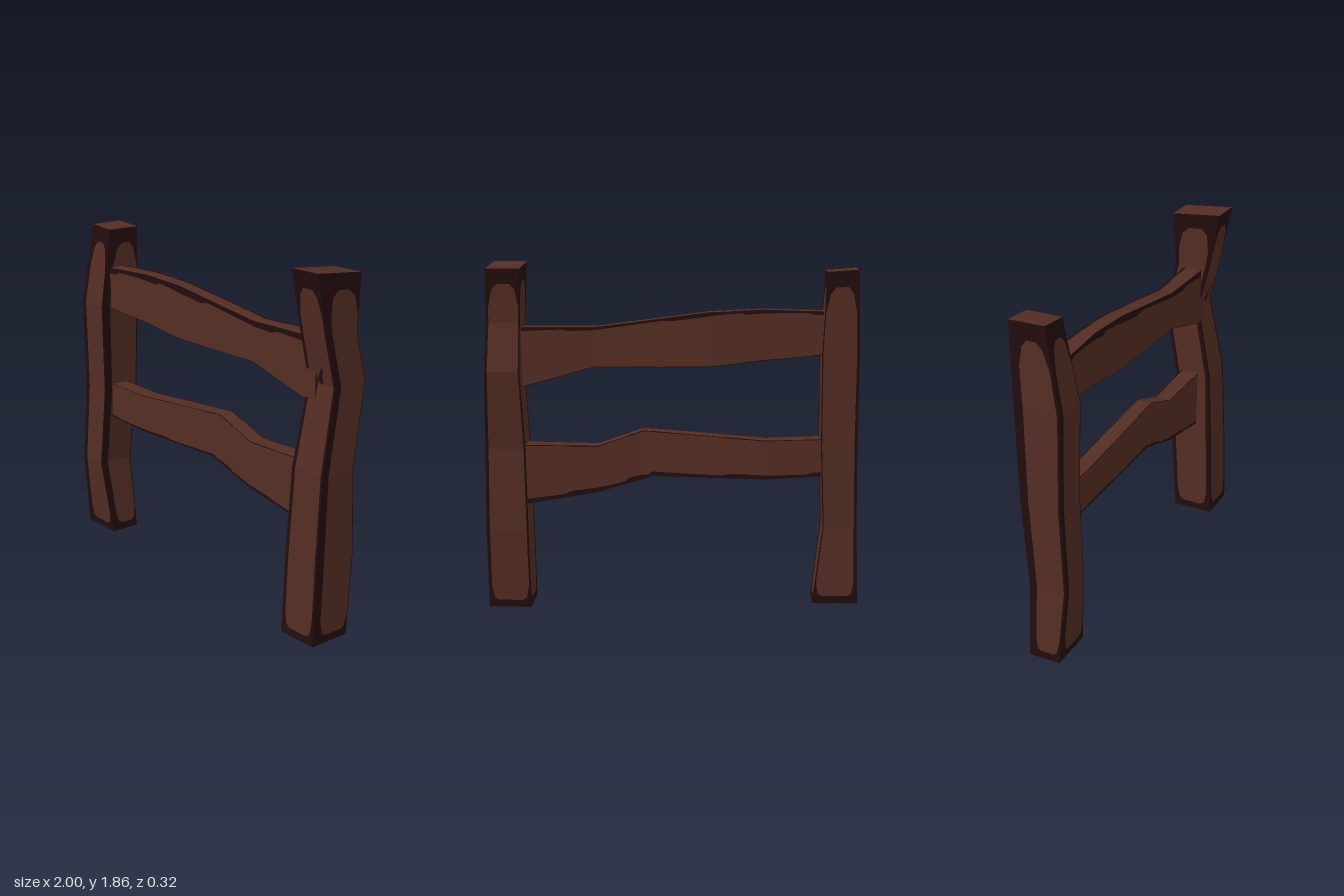
import * as THREE from 'three';

const wood = new THREE.MeshStandardMaterial({ color: 0x532d23 });
wood.name = 'brownWood';
const edge = new THREE.MeshStandardMaterial({ color: 0x220c0c });
edge.name = 'darkEdge';

const v = (x, y, z) => new THREE.Vector3(x, y, z);
const mix = (s, t, f) => s.map((p, i) => p.clone().lerp(t[i], f));

// Four-sided beam through cross-sections. Each side has a brown panel between
// dark margins; rows with panel = false are dark all the way across.
function beam(name, rows, margins, capMaterials) {
  const tris = [[], []];
  const quad = (m, a, b, c, d) => tris[m].push(a, b, c, a, c, d);
  const across = (row, i) => {
    const a = row.corners[i], b = row.corners[(i + 1) % 4];
    const [m0, m1] = margins[i];
    const w = row.wobble ?? 1, e = row.inset ?? 0;
    return [0, m0 * w + e, 1 - m1 * w - e, 1].map(u => a.clone().lerp(b, u));
  };
  for (let r = 0; r < rows.length - 1; r++) {
    for (let i = 0; i < 4; i++) {
      const a = across(rows[r], i), b = across(rows[r + 1], i);
      for (let c = 0; c < 3; c++) {
        const brown = c === 1 && rows[r].panel !== false;
        quad(brown ? 0 : 1, a[c], a[c + 1], b[c + 1], b[c]);
      }
    }
  }
  const s = rows[0].corners, t = rows[rows.length - 1].corners;
  quad(capMaterials[0], s[3], s[2], s[1], s[0]);
  quad(capMaterials[1], t[0], t[1], t[2], t[3]);

  const geometry = new THREE.BufferGeometry().setFromPoints([...tris[0], ...tris[1]]);
  geometry.addGroup(0, tris[0].length, 0);
  geometry.addGroup(tris[0].length, tris[1].length, 1);
  geometry.computeVertexNormals();
  const mesh = new THREE.Mesh(geometry, [wood, edge]);
  mesh.name = name;
  return mesh;
}

// Post sections: [y, xMin, xMax, zBack, zFront]; tilt lowers the top's +x and back sides
function post(name, sections, margins, tiltX, tiltZ) {
  const s = sections.map(([y, x0, x1, z0, z1], k) => {
    const top = k === sections.length - 1;
    const dx = top ? tiltX : 0, dz = top ? tiltZ : 0;
    return [v(x0, y, z1), v(x1, y - dx, z1), v(x1, y - dx - dz, z0), v(x0, y - dz, z0)];
  });
  const n = s.length - 1;
  const low = sections[1][0] - sections[0][0], high = sections[n][0] - sections[n - 1][0];
  const rows = [
    { corners: s[0], panel: false },
    ...[[0.04, 0.16], [0.055, 0.06], [0.12, 0]].map(([d, inset]) => ({ corners: mix(s[0], s[1], d / low), inset })),
    ...s.slice(1, n).map(corners => ({ corners })),
    ...[[0.22, 0], [0.12, 0.1], [0.085, 0.25]].map(([d, inset]) => ({
      corners: mix(s[n], s[n - 1], d / high), inset, panel: d > 0.1,
    })),
    { corners: s[n] },
  ];
  return beam(name, rows, margins, [1, 0]);
}

// Rail sections: [x, yBottom, yTop, zBack, zFront], split in between for ragged margins
function rail(name, sections, margins) {
  const s = sections.map(([x, y0, y1, z0, z1]) => [v(x, y1, z1), v(x, y0, z1), v(x, y0, z0), v(x, y1, z0)]);
  const rows = [];
  s.forEach((c, k) => {
    rows.push({ corners: c, wobble: 1 });
    if (k < s.length - 1) {
      [0.3, 0.4, 0.75].forEach((f, j) => rows.push({ corners: mix(c, s[k + 1], f), wobble: [1.1, 0.65, 0.8][j] }));
    }
  });
  return beam(name, rows, margins, [1, 1]);
}

export function createModel() {
  const group = new THREE.Group();
  group.name = 'fence';

  // Posts; margins run front, +x side, back, -x side
  group.add(post('rightPost', [
    [0.04, -1.0, -0.755, -0.05, 0.12],
    [0.46, -0.985, -0.805, -0.045, 0.16],
    [0.9, -0.975, -0.785, -0.085, 0.135],
    [1.4, -0.975, -0.78, -0.1, 0.145],
    [1.835, -0.96, -0.8, -0.12, 0.07],
  ], [[0.17, 0.03], [0.22, 0.03], [0.03, 0.08], [0.2, 0.06]], 0.012, 0));

  group.add(post('leftPost', [
    [0, 0.77, 0.998, -0.065, 0.165],
    [0.43, 0.775, 0.998, -0.095, 0.15],
    [0.88, 0.785, 0.996, -0.08, 0.125],
    [1.3, 0.795, 0.978, -0.16, 0.04],
    [1.55, 0.797, 0.973, -0.1, 0.1],
    [1.86, 0.79, 0.967, -0.12, 0.16],
  ], [[0.1, 0.06], [0.2, 0.02], [0.08, 0.03], [0.1, 0.1]], 0, 0.025));

  // Rails; margins run front, bottom, back, top
  group.add(rail('upperRail', [
    [-0.86, 1.39, 1.61, -0.02, 0.085],
    [-0.47, 1.35, 1.62, -0.025, 0.062],
    [-0.19, 1.315, 1.605, -0.028, 0.06],
    [0.41, 1.315, 1.525, -0.03, 0.06],
    [0.86, 1.19, 1.525, -0.055, 0.055],
  ], [[0.13, 0.012], [0.1, 0.05], [0.02, 0.07], [0.15, 0.02]]));

  group.add(rail('lowerRail', [
    [-0.86, 0.74, 0.937, -0.02, 0.085],
    [-0.5, 0.715, 0.925, -0.025, 0.065],
    [0.1, 0.728, 0.972, -0.025, 0.06],
    [0.16, 0.71, 0.975, -0.025, 0.06],
    [0.4, 0.638, 0.89, -0.03, 0.06],
    [0.86, 0.56, 0.897, -0.05, 0.055],
  ], [[0.015, 0.06], [0.1, 0.1], [0.1, 0.02], [0.05, 0.02]]));

  // Small dark nick lying on the left post's front
  const nick = new THREE.BufferGeometry().setFromPoints(
    [[0.865, 1.32], [0.9, 1.302], [0.915, 1.4]].map(([x, y]) => v(x, y, 0.044 + (y - 1.3) * 0.24)));
  nick.computeVertexNormals();
  const nickMesh = new THREE.Mesh(nick, edge);
  nickMesh.name = 'postNick';
  group.add(nickMesh);

  return group;
}
